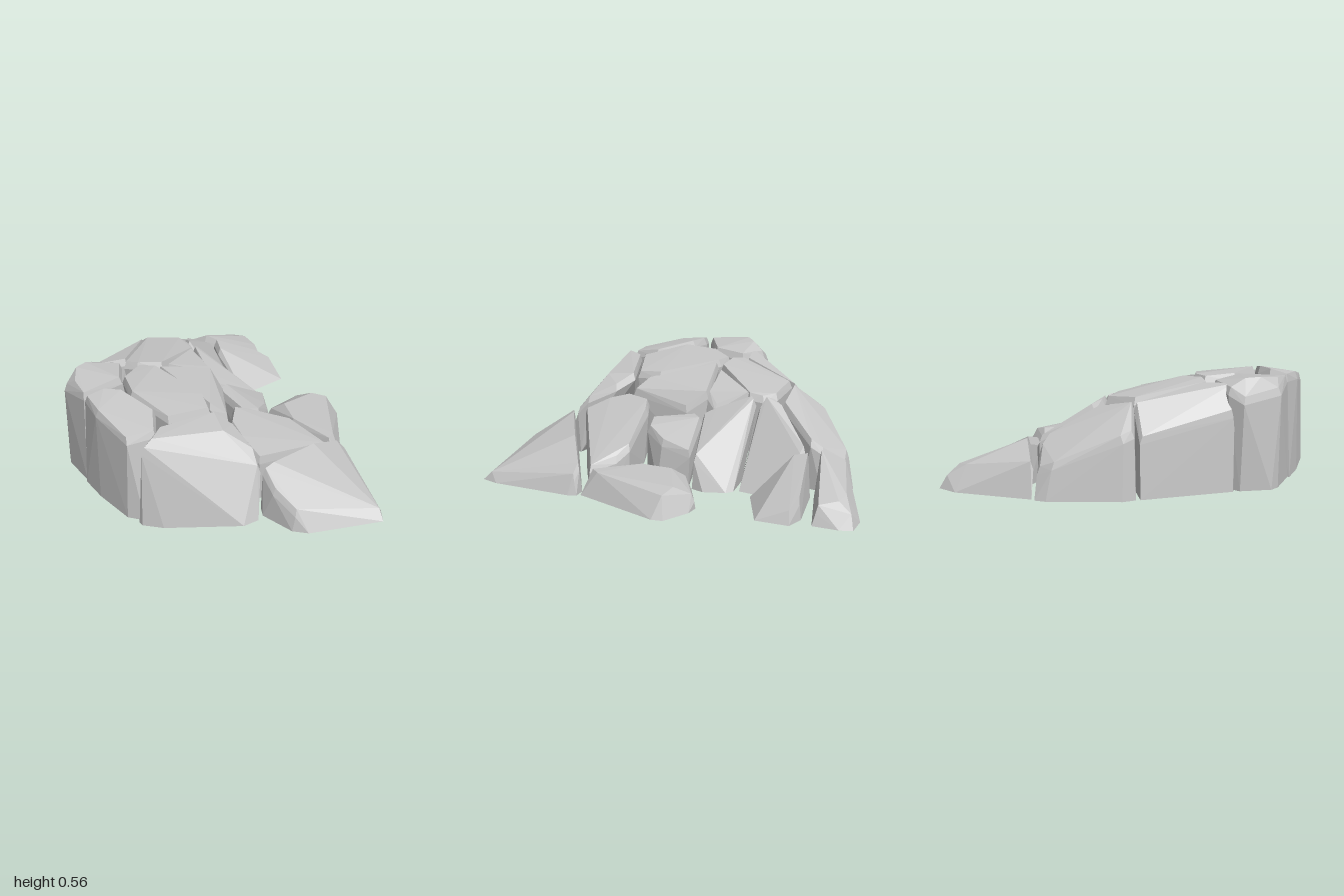
import * as THREE from 'three';
import { ConvexGeometry } from 'three/addons/geometries/ConvexGeometry.js';

const GROUND = 0.01;
const BEVEL_OUT = 0.016;
const BEVEL_DROP = 0.04;

export function createModel() {
  const group = new THREE.Group();
  group.name = 'rockMound';
  const stoneGrey = new THREE.MeshStandardMaterial({ color: 0xc6c6c6 });
  stoneGrey.name = 'stoneGrey';

  // A stone is the convex hull of its crown corners [x, y, z], a slightly wider ring below
  // them that bevels the rim, and its foot corners [x, z] or [x, z, y].
  function stone(name, crown, foot) {
    const points = crown.map(p => new THREE.Vector3(...p));
    const centre = new THREE.Vector3();
    points.forEach(p => centre.addScaledVector(p, 1 / crown.length));
    const rim = points.map(p => {
      const out = p.clone().sub(centre).setY(0).setLength(BEVEL_OUT);
      return out.add(p).setY(Math.max(GROUND, p.y - BEVEL_DROP));
    });
    const base = foot.map(([x, z, y = GROUND]) => new THREE.Vector3(x, y, z));
    const mesh = new THREE.Mesh(new ConvexGeometry([...points, ...rim, ...base]), stoneGrey);
    mesh.name = name;
    group.add(mesh);
  }

  // Low stones at the back left
  stone('backTipStone',
    [[0.3, 0.19, -0.94], [0.38, 0.27, -0.81], [0.56, 0.19, -0.8], [0.73, 0.11, -0.79], [0.66, 0.14, -0.93], [0.72, 0.13, -0.89], [0.76, 0.08, -0.95]],
    [[0.28, -0.98], [0.69, -1], [0.8, -0.96], [0.8, -0.89], [0.76, -0.76], [0.4, -0.78]]);
  stone('backSideStone',
    [[0.41, 0.26, -0.74], [0.39, 0.24, -0.67], [0.67, 0.13, -0.7], [0.74, 0.08, -0.65]],
    [[0.4, -0.76], [0.69, -0.71], [0.77, -0.65], [0.72, -0.48], [0.42, -0.45], [0.38, -0.65]]);

  // Outer wall, from the back round the right side to the front
  stone('backStone',
    [[-0.12, 0.46, -0.67], [0.07, 0.42, -0.62], [0.28, 0.29, -0.76], [0.29, 0.25, -0.82],
      [0.25, 0.17, -0.94], [0.17, 0.2, -0.95], [-0.13, 0.33, -0.84], [-0.17, 0.35, -0.8]],
    [[-0.2, -0.82], [-0.15, -0.87], [0.2, -0.99], [0.26, -0.99], [0.31, -0.82], [0.26, -0.72], [0.08, -0.64], [-0.11, -0.68]]);
  stone('backRightStone',
    [[-0.15, 0.46, -0.67], [-0.4, 0.53, -0.41], [-0.57, 0.54, -0.43], [-0.22, 0.32, -0.78], [-0.58, 0.42, -0.5]],
    [[-0.22, -0.81], [-0.15, -0.69], [-0.39, -0.41], [-0.58, -0.42], [-0.6, -0.52]]);
  stone('rightCornerStone',
    [[-0.78, 0.52, -0.36], [-0.76, 0.56, -0.3], [-0.7, 0.575, -0.4], [-0.63, 0.57, -0.43], [-0.57, 0.53, -0.48],
      [-0.65, 0.49, -0.5], [-0.46, 0.54, -0.37], [-0.54, 0.55, -0.22], [-0.77, 0.55, -0.18]],
    [[-0.79, -0.37], [-0.77, -0.42], [-0.63, -0.5], [-0.57, -0.48], [-0.46, -0.37], [-0.55, -0.21], [-0.79, -0.17]]);
  stone('rightStone',
    [[-0.77, 0.55, -0.14], [-0.68, 0.57, -0.13], [-0.61, 0.57, -0.07], [-0.54, 0.53, 0.13], [-0.61, 0.5, 0.26],
      [-0.75, 0.49, 0.23], [-0.78, 0.54, 0]],
    [[-0.8, -0.16], [-0.66, -0.14], [-0.6, -0.06], [-0.58, 0.12], [-0.63, 0.28], [-0.71, 0.31], [-0.77, 0.24], [-0.8, 0]]);
  stone('frontRightStone',
    [[-0.56, 0.49, 0.24], [-0.65, 0.49, 0.31], [-0.7, 0.46, 0.32], [-0.24, 0.47, 0.24], [-0.18, 0.42, 0.33],
      [-0.16, 0.35, 0.48], [-0.28, 0.45, 0.39], [-0.17, 0.28, 0.54]],
    [[-0.74, 0.31], [-0.74, 0.34], [-0.66, 0.42], [-0.31, 0.63], [-0.22, 0.63], [-0.16, 0.54], [-0.6, 0.3]]);

  // Roof stones, tapering down into the hollow
  stone('rearRoofStone',
    [[-0.13, 0.48, -0.64], [0.04, 0.46, -0.57], [0.06, 0.45, -0.5], [0.04, 0.46, -0.43], [-0.25, 0.53, -0.27],
      [-0.37, 0.54, -0.32], [-0.41, 0.53, -0.38]],
    [[-0.13, -0.63, 0.1], [0.05, -0.54, 0.1], [0.03, -0.42, 0.12], [-0.22, -0.27, 0.15], [-0.37, -0.36, 0.15]]);
  stone('topRoofStone',
    [[-0.51, 0.55, -0.21], [-0.38, 0.54, -0.29], [-0.31, 0.54, -0.24], [-0.21, 0.49, 0.08], [-0.25, 0.48, 0.2],
      [-0.49, 0.51, 0.2], [-0.56, 0.56, -0.04]],
    [[-0.48, -0.2, 0.2], [-0.35, -0.26, 0.2], [-0.22, 0.1, 0.2], [-0.26, 0.19, 0.2], [-0.47, 0.19, 0.2], [-0.55, -0.03, 0.2]]);
  stone('middleRoofStone',
    [[-0.28, 0.53, -0.23], [0.01, 0.45, -0.19], [0.02, 0.37, -0.08], [-0.14, 0.41, 0.21], [-0.2, 0.46, 0.14]],
    [[-0.23, -0.2, 0.18], [0.03, -0.17, 0.17], [0.03, -0.05, 0.17], [-0.13, 0.21, 0.16], [-0.19, 0.14, 0.16]]);
  stone('roofWedge',
    [[-0.21, 0.51, -0.26], [0.03, 0.46, -0.42], [0.04, 0.39, -0.25], [0.01, 0.45, -0.21]],
    [[-0.1, -0.25, 0.2], [0.04, -0.39, 0.18], [0.04, -0.21, 0.18]]);

  // Inner slope on the left side
  stone('upperSlopeStone',
    [[0.08, 0.45, -0.52], [0.08, 0.44, -0.56], [0.12, 0.42, -0.6], [0.34, 0.27, -0.72], [0.36, 0.24, -0.7], [0.1, 0.4, -0.49]],
    [[0.36, -0.72], [0.39, -0.68], [0.4, -0.5], [0.35, -0.39], [0.22, -0.45], [0.08, -0.5, 0.15], [0.08, -0.57, 0.15]]);
  stone('middleSlopeStone',
    [[0.07, 0.45, -0.44], [0.09, 0.44, -0.45], [0.05, 0.37, -0.25], [0.05, 0.34, -0.19], [0.32, 0.2, -0.16]],
    [[0.36, -0.36], [0.38, -0.32], [0.38, -0.2], [0.34, -0.14], [0.18, -0.18], [0.2, -0.4], [0.06, -0.43, 0.15], [0.05, -0.19, 0.15]]);
  stone('lowerSlopeStone',
    [[0.04, 0.33, -0.13], [0.1, 0.33, -0.16], [0.32, 0.22, -0.12], [0.05, 0.31, 0.09], [0.14, 0.29, 0.1], [0.24, 0.25, 0.02]],
    [[0.34, -0.12], [0.28, 0.05], [0.15, 0.12], [0.16, -0.13], [0.04, 0.09, 0.12], [0.04, -0.13, 0.12]]);

  // Front stones and the loose one on the left
  stone('frontSlopeStone',
    [[-0.04, 0.38, 0.14], [0.03, 0.35, 0.14], [-0.13, 0.38, 0.25], [-0.14, 0.35, 0.36], [-0.12, 0.29, 0.49],
      [0.28, 0.23, 0.2], [0.33, 0.18, 0.26], [0.38, 0.14, 0.39]],
    [[0.3, 0.2], [0.36, 0.27], [0.4, 0.4], [0.1, 0.46], [-0.13, 0.5, 0.03], [-0.15, 0.26, 0.12], [-0.03, 0.13, 0.1], [0.1, 0.14, 0.06]]);
  stone('frontStone',
    [[-0.14, 0.27, 0.57], [-0.08, 0.28, 0.56], [0.22, 0.25, 0.5], [0.42, 0.17, 0.45], [0.46, 0.12, 0.47],
      [-0.14, 0.2, 0.66], [-0.1, 0.13, 0.79], [0.32, 0.06, 0.94]],
    [[-0.18, 0.61], [-0.15, 0.55], [0.43, 0.43], [0.49, 0.45], [0.49, 0.5], [0.36, 0.91], [0.31, 0.99],
      [-0.07, 0.86], [-0.13, 0.8]]);
  stone('looseLeftStone',
    [[0.38, 0.1, -0.11], [0.6, 0.09, -0.16], [0.64, 0.14, -0.07], [0.71, 0.12, -0.02], [0.48, 0.14, 0.34],
      [0.43, 0.14, 0.37], [0.37, 0.155, 0.12], [0.42, 0.155, -0.04]],
    [[0.35, -0.14], [0.6, -0.18], [0.66, -0.15], [0.77, -0.03], [0.76, 0.03], [0.48, 0.43], [0.42, 0.4], [0.33, 0.14]]);

  return group;
}
